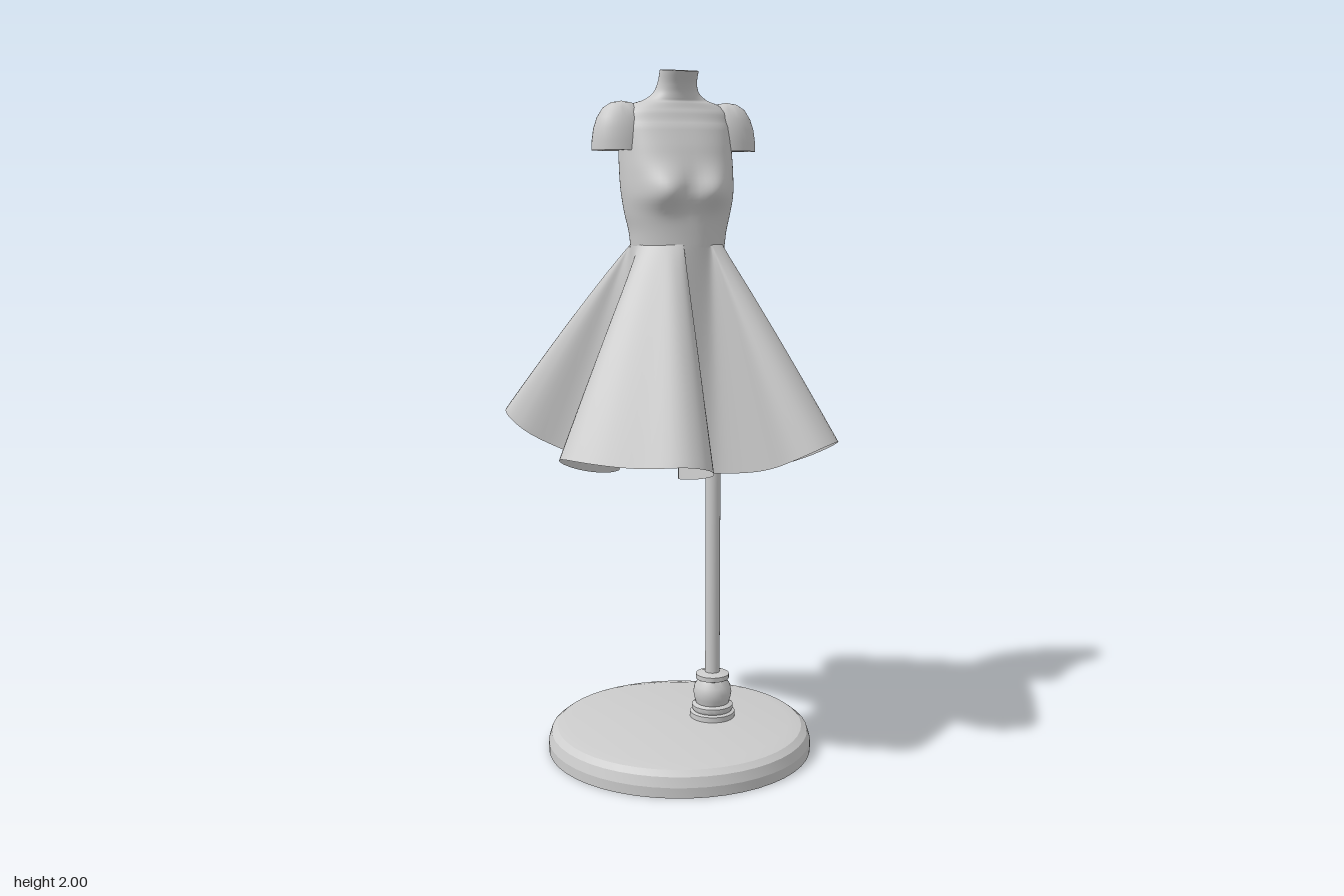
import * as THREE from 'three';
import { toCreasedNormals } from 'three/addons/utils/BufferGeometryUtils.js';

const material = new THREE.MeshStandardMaterial({ color: 0xcccccc });
const thin = new THREE.MeshStandardMaterial({ color: 0xcccccc, side: THREE.DoubleSide });
const CX = -0.022; // middle of the body

function addMesh(parent, name, geometry, x = 0, y = 0, z = 0, mat = material) {
  const mesh = new THREE.Mesh(geometry, mat);
  mesh.name = name;
  mesh.position.set(x, y, z);
  parent.add(mesh);
  return mesh;
}

// Smooth skin over closed rings listed from bottom to top
function loft(rings) {
  const n = rings[0].length, position = [], index = [];
  for (const ring of rings) for (const p of ring) position.push(p.x, p.y, p.z);
  for (let i = 0; i < rings.length - 1; i++) {
    for (let j = 0; j < n; j++) {
      const a = i * n + j, b = i * n + (j + 1) % n;
      index.push(a, a + n, b, b, a + n, b + n);
    }
  }
  const g = new THREE.BufferGeometry();
  g.setAttribute('position', new THREE.Float32BufferAttribute(position, 3));
  g.setIndex(index);
  g.computeVertexNormals();
  return g;
}

function lathe(profile, segments, crease = 0.4) {
  const g = new THREE.LatheGeometry(profile.map(([r, y]) => new THREE.Vector2(r, y)), segments);
  return toCreasedNormals(g, crease);
}

// Hem outline seen from above (x, z): five deep folds
const hemPoints = [
  [0.14, -0.12], [0.2, -0.13], [0.3, -0.185], [0.38, -0.22], [0.44, -0.205], [0.457, -0.15], [0.41, -0.085], [0.3, -0.045], [0.21, -0.015],
  [0.15, 0.06], [0.19, 0.155], [0.27, 0.22], [0.335, 0.285], [0.33, 0.36], [0.265, 0.395], [0.195, 0.365], [0.155, 0.28], [0.11, 0.19],
  [0.05, 0.13], [-0.04, 0.13], [-0.08, 0.19], [-0.05, 0.27], [-0.035, 0.35], [-0.07, 0.41], [-0.14, 0.428], [-0.25, 0.375], [-0.37, 0.295], [-0.427, 0.22], [-0.4, 0.15], [-0.31, 0.085], [-0.23, 0.035],
  [-0.19, -0.02], [-0.23, -0.085], [-0.32, -0.175], [-0.43, -0.235], [-0.465, -0.29], [-0.43, -0.35], [-0.35, -0.355], [-0.28, -0.28], [-0.21, -0.19],
  [-0.13, -0.14], [-0.065, -0.17], [-0.04, -0.25], [-0.05, -0.36], [-0.02, -0.415], [0.03, -0.432], [0.08, -0.405], [0.098, -0.33], [0.085, -0.24], [0.095, -0.165],
];

function skirtGeometry() {
  const COUNT = 240, ROWS = 28, WAIST = 1.515, LENGTH = 0.655;
  const curve = new THREE.CatmullRomCurve3(hemPoints.map(([x, z]) => new THREE.Vector3(x, 0, z)), true, 'centripetal');
  const hem = [], angles = [];
  for (let j = 0; j < COUNT; j++) {
    const p = curve.getPoint(j / COUNT);
    let a = Math.atan2(p.z, p.x - CX);
    if (j) while (a < angles[j - 1] - Math.PI) a += 2 * Math.PI;
    hem.push(p);
    angles.push(a);
  }
  const shift = angles.reduce((s, a, j) => s + a - j / COUNT * 2 * Math.PI, 0) / COUNT;
  const rings = [];
  for (let i = 0; i <= ROWS; i++) {
    const t = 1 - i / ROWS, f = Math.pow(t, 0.93);
    rings.push(hem.map((h, j) => {
      const a = THREE.MathUtils.lerp(angles[j], j / COUNT * 2 * Math.PI + shift, 0.4);
      const wx = CX + 0.136 * Math.cos(a), wz = 0.014 + 0.112 * Math.sin(a);
      const out = Math.hypot(h.x - wx, h.z - wz);
      const drop = Math.sqrt(LENGTH * LENGTH - out * out); // cloth keeps its length
      return new THREE.Vector3(wx + (h.x - wx) * f, WAIST - drop * t, wz + (h.z - wz) * f);
    }));
  }
  return loft(rings);
}

// Body sections: height, half width, back z, front z, squareness
const sections = [
  [1.505, 0.136, -0.097, 0.126, 2.1], [1.55, 0.141, -0.098, 0.126, 2.2], [1.6, 0.152, -0.102, 0.127, 2.3],
  [1.66, 0.16, -0.114, 0.133, 2.4], [1.72, 0.162, -0.122, 0.125, 2.4], [1.78, 0.162, -0.122, 0.108, 2.4],
  [1.84, 0.162, -0.112, 0.085, 2.4], [1.88, 0.153, -0.092, 0.066, 2.3], [1.902, 0.128, -0.074, 0.056, 2.1],
  [1.915, 0.092, -0.062, 0.053, 2], [1.935, 0.066, -0.053, 0.056, 2], [1.96, 0.056, -0.043, 0.065, 2], [1.995, 0.054, -0.027, 0.085, 2],
];

function torsoGeometry() {
  const COUNT = 72, ROWS = 60;
  const path = (k) => new THREE.CatmullRomCurve3(sections.map((s) => new THREE.Vector3(...s.slice(k, k + 3))), false, 'centripetal');
  const size = path(0), shape = path(2);
  const rings = [];
  for (let i = 0; i <= ROWS; i++) {
    const { x: y, y: rx, z: back } = size.getPoint(i / ROWS);
    const { y: front, z: power } = shape.getPoint(i / ROWS);
    const ring = [];
    for (let j = 0; j < COUNT; j++) {
      const a = j / COUNT * 2 * Math.PI, c = Math.cos(a), s = Math.sin(a);
      const x = rx * Math.sign(c) * Math.abs(c) ** (2 / power);
      let z = (front + back) / 2 + (front - back) / 2 * Math.sign(s) * Math.abs(s) ** (2 / power);
      // bust
      const d = ((Math.abs(x) - 0.068) / 0.05) ** 2 + ((y - 1.665) / 0.05) ** 2;
      if (s > 0) z += 0.032 * Math.exp(-d) * Math.min(1, s * 1.5);
      const tilt = Math.max(0, y - 1.94) / 0.055 * 0.006 * s;
      ring.push(new THREE.Vector3(CX + x, y - tilt, z));
    }
    rings.push(ring);
  }
  return loft(rings);
}

export function createModel() {
  const model = new THREE.Group();

  // Stand
  const stand = new THREE.Group();
  stand.name = 'stand';
  model.add(stand);
  addMesh(stand, 'base', lathe([[0, 0], [0.395, 0], [0.395, 0.03], [0.386, 0.058], [0.368, 0.072], [0.33, 0.08], [0, 0.08]], 48, 0.3), -0.01, 0, -0.005);
  addMesh(stand, 'poleCollar', lathe([
    [0.068, 0.079], [0.068, 0.096], [0.058, 0.1], [0.062, 0.106], [0.062, 0.118], [0.05, 0.124],
    [0.055, 0.14], [0.058, 0.158], [0.054, 0.178], [0.042, 0.197], [0.05, 0.2], [0.05, 0.214], [0.022, 0.22],
  ], 32, 0.6), 0.096, 0, -0.005);
  addMesh(stand, 'pole', new THREE.CylinderGeometry(0.022, 0.022, 1.43, 24), 0.096, 0.815, -0.005);

  // Dress form
  const form = new THREE.Group();
  form.name = 'dressForm';
  model.add(form);
  addMesh(form, 'torso', torsoGeometry(), 0, 0, 0, thin);
  const neckCap = addMesh(form, 'neckCap', new THREE.CircleGeometry(0.055, 36), CX, 1.995, 0.029);
  neckCap.rotation.x = -Math.PI / 2 + 0.107;

  // Cap sleeves with the arm stubs inside
  for (const side of [-1, 1]) {
    const name = side > 0 ? 'left' : 'right';
    const sleeve = addMesh(form, name + 'Sleeve', lathe([
      [0.087, 0], [0.086, 0.025], [0.081, 0.06], [0.071, 0.09], [0.054, 0.117], [0.03, 0.132], [0, 0.137],
    ], 36, 1), CX + side * 0.157, 1.774, -0.012, thin);
    sleeve.scale.z = 0.75;
    const arm = addMesh(form, name + 'ArmStub', new THREE.CylinderGeometry(0.06, 0.068, 0.06, 32), CX + side * 0.152, 1.805, -0.012);
    arm.scale.z = 0.8;
  }

  // Flared skirt
  addMesh(model, 'skirt', skirtGeometry(), 0, 0, 0, thin);
  return model;
}
